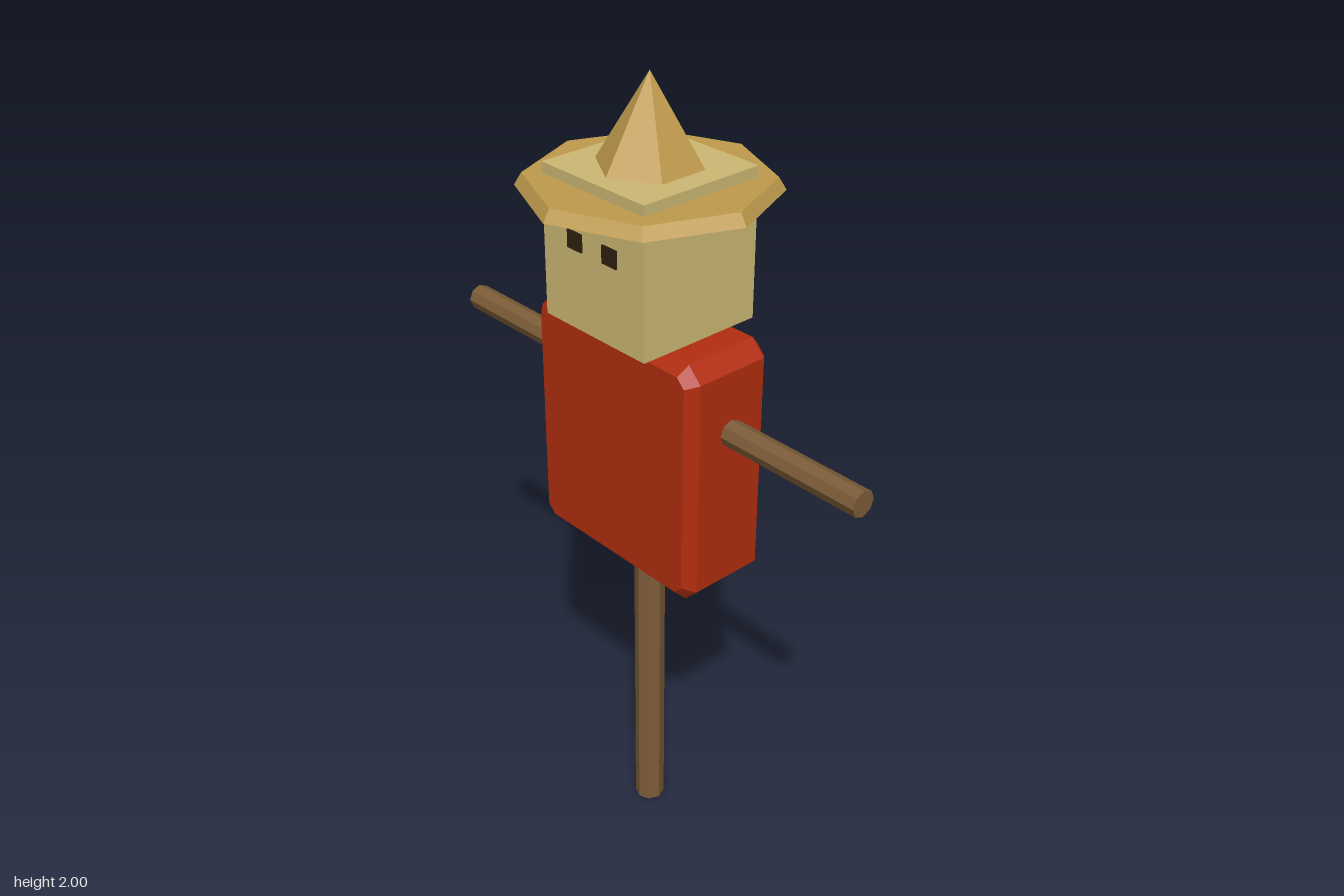
import * as THREE from 'three';

const material = (name, color) => {
  const m = new THREE.MeshStandardMaterial({ color, flatShading: true });
  m.name = name;
  return m;
};

export function createModel() {
  const wood = material('brown wood', 0x7d5c38);
  const shirt = material('red cloth', 0xb22d0f);
  const sack = material('pale sackcloth', 0xcdb873);
  const straw = material('golden straw', 0xc09a4c);
  const dark = material('dark brown', 0x2e2010);

  const model = new THREE.Group();
  model.name = 'scarecrow';
  const add = (name, geometry, mat, x = 0, y = 0, z = 0) => {
    const mesh = new THREE.Mesh(geometry, mat);
    mesh.name = name;
    mesh.position.set(x, y, z);
    model.add(mesh);
    return mesh;
  };

  // Upright pole and crossbar arms
  add('pole', new THREE.CylinderGeometry(0.038, 0.038, 0.9, 8), wood, 0, 0.45);
  const arms = add('arms', new THREE.CylinderGeometry(0.032, 0.032, 1.296, 8), wood, 0, 1.258);
  arms.rotation.z = Math.PI / 2;

  // Torso: cut-corner outline with a single chamfer on front and back
  const bevel = 0.025, w = 0.265 - bevel, h = 0.307 - bevel, c = 0.022;
  const outline = new THREE.Shape([
    [-w + c, -h], [w - c, -h], [w, -h + c], [w, h - c],
    [w - c, h], [-w + c, h], [-w, h - c], [-w, -h + c],
  ].map(([x, y]) => new THREE.Vector2(x, y)));
  const torso = new THREE.ExtrudeGeometry(outline, {
    depth: 0.24 - 2 * bevel, bevelEnabled: true, bevelSegments: 1,
    bevelSize: bevel, bevelThickness: bevel,
  });
  torso.translate(0, 0, -(0.24 - 2 * bevel) / 2);
  add('torso', torso, shirt, 0, 1.138);

  // Square head with two flat eyes
  add('head', new THREE.BoxGeometry(0.324, 0.355, 0.324), sack, 0, 1.6225);
  for (const side of [-1, 1]) {
    add(side > 0 ? 'leftEye' : 'rightEye',
      new THREE.BoxGeometry(0.046, 0.042, 0.008), dark, side * 0.056, 1.654, 0.162);
  }

  // Hat: octagonal brim and six-sided peak
  add('hatBrim', new THREE.CylinderGeometry(0.273, 0.29, 0.028, 8), straw, 0, 1.761);
  add('hatPeak', new THREE.ConeGeometry(0.122, 0.2, 6), straw, 0, 1.9);

  return model;
}
